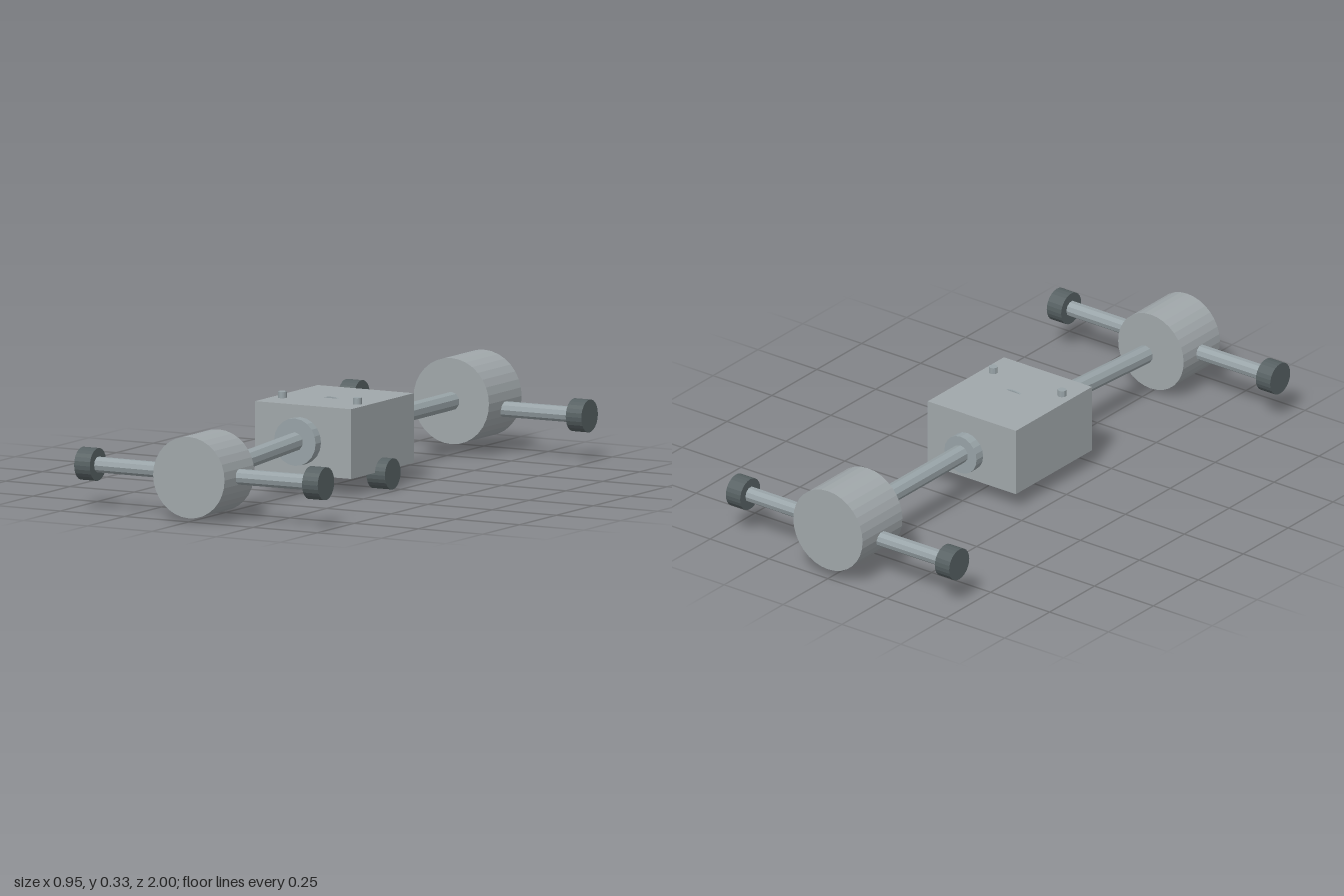
import * as THREE from 'three';

const bodyGrey = new THREE.MeshStandardMaterial({ color: 0xa0a7aa, flatShading: true });
bodyGrey.name = 'bodyGrey';
const steel = new THREE.MeshStandardMaterial({ color: 0x98a3a7, flatShading: true });
steel.name = 'steel';
const darkGrey = new THREE.MeshStandardMaterial({ color: 0x566062, flatShading: true });
darkGrey.name = 'darkGrey';

// Capped cylinder running from point a to point b
function rod(name, a, b, radius, sides, material) {
  const from = new THREE.Vector3(...a);
  const to = new THREE.Vector3(...b);
  const dir = to.clone().sub(from);
  const mesh = new THREE.Mesh(new THREE.CylinderGeometry(radius, radius, dir.length(), sides), material);
  mesh.position.copy(from).add(to).multiplyScalar(0.5);
  mesh.quaternion.setFromUnitVectors(new THREE.Vector3(0, 1, 0), dir.normalize());
  mesh.name = name;
  return mesh;
}

// Drum with an arm and an end cap on each side
function drumAssembly(name, z0, z1, y, radius, armZ) {
  const group = new THREE.Group();
  group.name = name;
  group.add(rod('drum', [0, y, z0], [0, y, z1], radius, 32, bodyGrey));
  for (const s of [-1, 1]) {
    group.add(rod('sideArm', [s * 0.1, 0.151, armZ], [s * 0.42, 0.152, armZ], 0.027, 10, steel));
    group.add(rod('endCap', [s * 0.413, 0.152, armZ], [s * 0.474, 0.152, armZ], 0.056, 24, darkGrey));
  }
  return group;
}

export function createModel() {
  const model = new THREE.Group();
  model.name = 'model';

  // Central box
  const box = new THREE.Mesh(new THREE.BoxGeometry(0.374, 0.238, 0.424), bodyGrey);
  box.position.set(0, 0.179, 0.013);
  box.name = 'centralBox';
  model.add(box);

  // Pins and the barely exposed disc on the box top
  for (const s of [-1, 1]) {
    model.add(rod('topPin', [s * 0.146, 0.28, 0.112], [s * 0.146, 0.32, 0.112], 0.015, 12, steel));
  }
  model.add(rod('innerDisc', [0, 0.203, 0.032], [0, 0.203, 0.039], 0.1, 32, steel));

  // Side knob
  model.add(rod('sideKnob', [0.155, 0.053, 0.013], [0.227, 0.053, 0.013], 0.053, 24, darkGrey));

  // Front shaft, sloping down, and its collar
  model.add(rod('frontCollar', [0, 0.179, 0.245], [0, 0.179, 0.282], 0.081, 20, steel));
  model.add(rod('frontShaft', [0, 0.182, 0.265], [0, 0.153, 0.767], 0.032, 10, steel));

  // Rear shaft and its collar
  model.add(rod('rearCollar', [0, 0.177, -0.225], [0, 0.177, -0.262], 0.068, 20, steel));
  model.add(rod('rearShaft', [0, 0.181, -0.245], [0, 0.182, -0.8], 0.032, 10, steel));

  // Drums at both ends
  model.add(drumAssembly('frontDrum', 0.798, 1, 0.151, 0.139, 0.896));
  model.add(drumAssembly('rearDrum', -1, -0.778, 0.182, 0.147, -0.891));

  return model;
}
